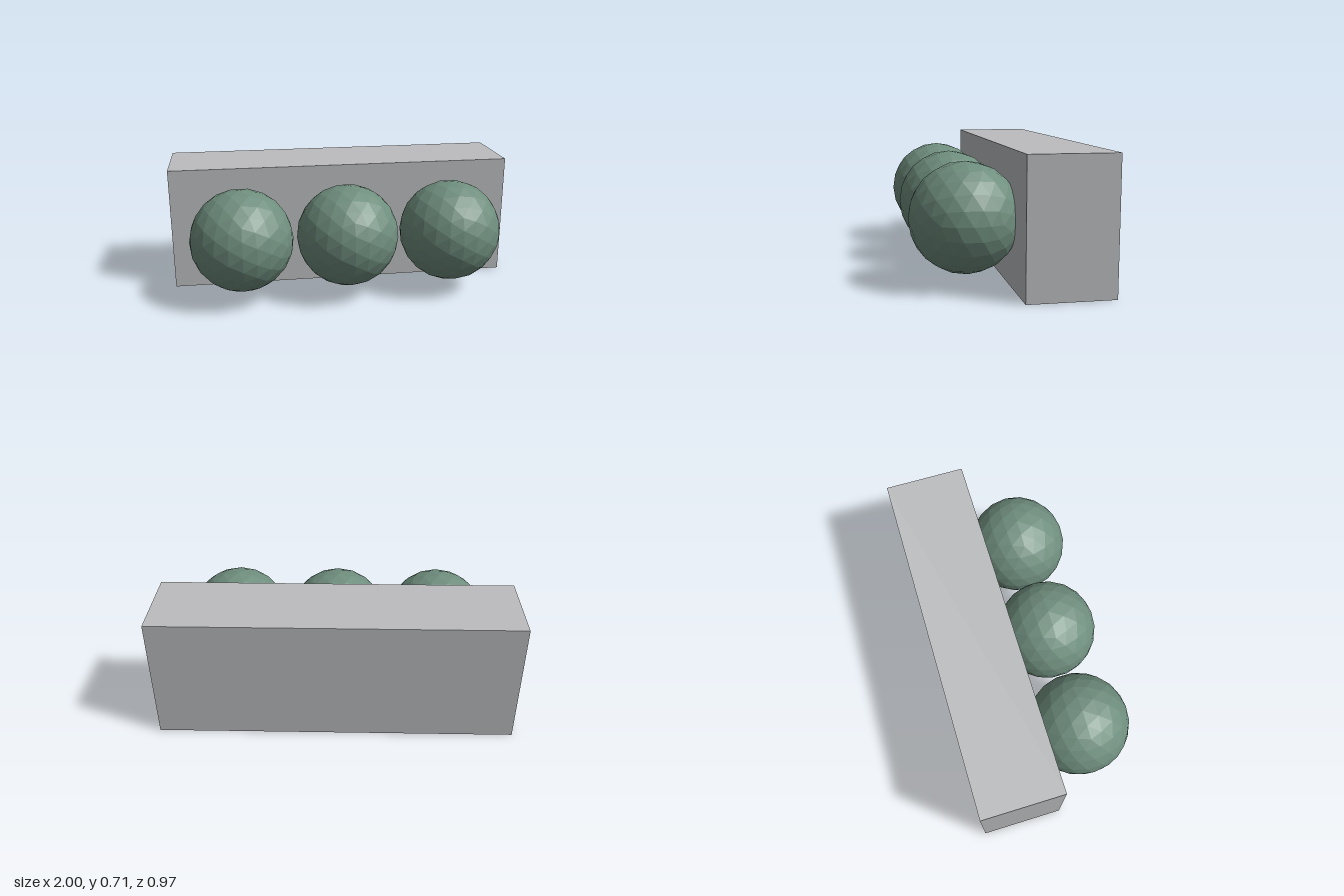
import * as THREE from 'three';

const blockGrey = new THREE.MeshStandardMaterial({ color: 0xbcbdbf });
blockGrey.name = 'block grey';
const sphereGreen = new THREE.MeshStandardMaterial({ color: 0x6f8e7e, flatShading: true });
sphereGreen.name = 'sphere green';

export function createModel() {
  const model = new THREE.Group();
  model.name = 'blockWithSpheres';

  // Long rectangular block at the back
  const block = new THREE.Mesh(new THREE.BoxGeometry(2, 0.71, 0.457), blockGrey);
  block.name = 'block';
  block.position.set(0, 0.355, -0.257);
  model.add(block);

  // Row of three faceted spheres set slightly into the front face
  const sphereGeometry = new THREE.IcosahedronGeometry(0.29, 3);
  ['rightSphere', 'middleSphere', 'leftSphere'].forEach((name, i) => {
    const sphere = new THREE.Mesh(sphereGeometry, sphereGreen);
    sphere.name = name;
    sphere.position.set((i - 1) * 0.6, 0.355, 0.196);
    model.add(sphere);
  });

  return model;
}
